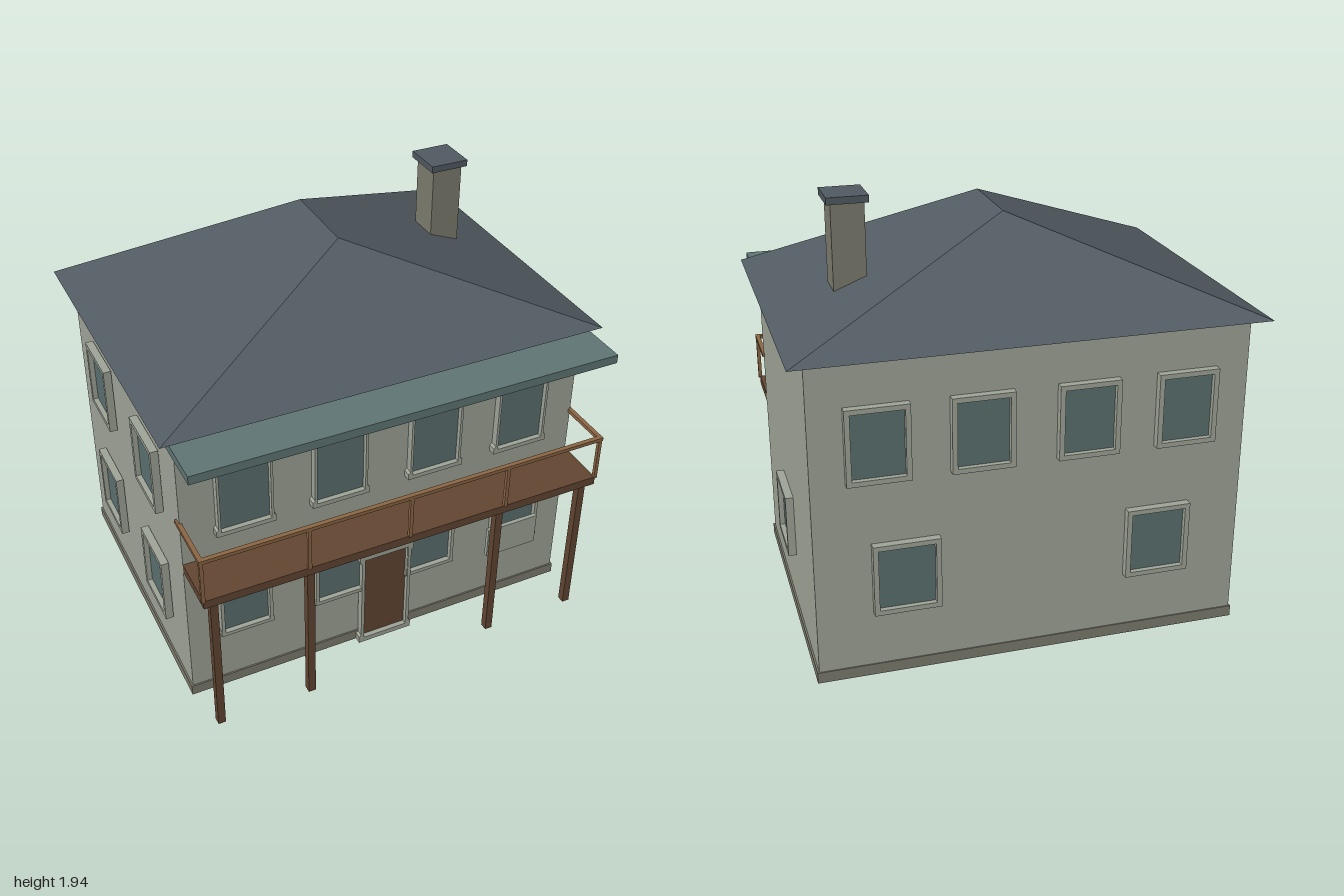
import * as THREE from 'three';

const mat = (name, color, side = THREE.FrontSide) => {
  const m = new THREE.MeshStandardMaterial({ color, side });
  m.name = name;
  return m;
};

export function createModel() {
  const model = new THREE.Group();
  model.name = 'house';
  const wall = mat('wall plaster', 0xa0a598);
  const stone = mat('stone', 0x7d7c6e);
  const slate = mat('roof slate', 0x515b62);
  const glass = mat('window glass', 0x5b7170);
  const awningMat = mat('awning teal', 0x5f7674);
  const wood = mat('dark wood', 0x624632);
  const railWood = mat('rail wood', 0x8c6644);

  const add = (name, geometry, material, parent = model) => {
    const mesh = new THREE.Mesh(geometry, material);
    mesh.name = name;
    parent.add(mesh);
    return mesh;
  };
  // Box given by its limits on each axis
  const box = (name, material, [x0, x1], [y0, y1], [z0, z1], parent = model) => {
    const g = new THREE.BoxGeometry(x1 - x0, y1 - y0, z1 - z0);
    g.translate((x0 + x1) / 2, (y0 + y1) / 2, (z0 + z1) / 2);
    return add(name, g, material, parent);
  };

  // Walls and plinth
  box('walls', wall, [-0.93, 0.93], [0.03, 1.435], [-0.76, 0.58]);
  box('plinth', stone, [-0.938, 0.938], [0, 0.05], [-0.765, 0.587]);

  // Hipped roof: eaves corners a-d, ridge ends e and f
  const a = [-1, 1.43, 0.64], b = [1, 1.43, 0.64], c = [1, 1.43, -0.83], d = [-1, 1.43, -0.83];
  const e = [0, 1.83, 0.1], f = [0, 1.83, -0.29];
  const roof = new THREE.BufferGeometry();
  const faces = [a, b, e, b, c, f, b, f, e, c, d, f, d, a, e, d, e, f, a, d, c, a, c, b];
  roof.setAttribute('position', new THREE.Float32BufferAttribute(faces.flat(), 3));
  roof.computeVertexNormals();
  add('roof', roof, slate);

  // Chimney
  box('chimney', stone, [0.58, 0.72], [1.54, 1.915], [-0.285, -0.14]);
  box('chimneyCap', slate, [0.565, 0.74], [1.91, 1.94], [-0.31, -0.125]);

  // Awning over the balcony
  box('awning', awningMat, [-0.955, 0.955], [1.37, 1.41], [0.52, 0.82]);

  // Balcony deck on posts
  box('balconyDeck', wood, [-0.93, 0.93], [0.725, 0.765], [0.58, 0.818]);
  for (const x of [-0.88, -0.452, 0.452, 0.88])
    box('deckPost', wood, [x - 0.017, x + 0.017], [0.01, 0.73], [0.765, 0.8]);

  // Railing
  box('frontRail', railWood, [-0.94, 0.94], [0.968, 0.985], [0.804, 0.825]);
  for (const s of [-1, 1]) {
    const x = s * 0.93;
    box('sideRail', railWood, [x - 0.01, x + 0.01], [0.968, 0.985], [0.545, 0.81]);
  }
  for (const x of [-0.93, -0.465, 0, 0.465, 0.93])
    box('railPost', railWood, [x - 0.008, x + 0.008], [0.76, 0.972], [0.806, 0.822]);

  // Framed opening; ear is how far the jambs step in from the head and sill
  function opening(name, paneMat, w, h, border, ear, x, y, z, turn) {
    const group = new THREE.Group();
    group.name = name;
    const X = w / 2, Y = h / 2, J = X - ear, band = border * 1.4;
    const half = [[X, -Y], [X, -Y + band], [J, -Y + band + ear], [J, Y - band - ear], [X, Y - band], [X, Y]];
    const outline = [...half, ...half.map(([px, py]) => [-px, py]).reverse()];
    const shape = new THREE.Shape(outline.map(p => new THREE.Vector2(...p)));
    const hx = X - border, hy = Y - border;
    shape.holes.push(new THREE.Path([
      new THREE.Vector2(-hx, -hy), new THREE.Vector2(-hx, hy),
      new THREE.Vector2(hx, hy), new THREE.Vector2(hx, -hy),
    ]));
    add('frame', new THREE.ExtrudeGeometry(shape, { depth: 0.035, bevelEnabled: false }), wall, group);
    box('pane', paneMat, [-hx - 0.002, hx + 0.002], [-hy - 0.002, hy + 0.002], [0.003, 0.012], group);
    group.position.set(x, y, z);
    group.rotation.y = turn;
    model.add(group);
  }

  // Front windows
  for (const x of [-0.655, -0.225, 0.225, 0.65])
    opening('frontUpperWindow', glass, 0.265, 0.355, 0.021, 0.01, x, 1.062, 0.58, 0);
  for (const x of [-0.67, -0.225, 0.225, 0.67])
    opening('frontLowerWindow', glass, 0.245, 0.28, 0.018, 0.003, x, 0.46, 0.58, 0);

  // Back windows
  for (const x of [-0.655, -0.225, 0.225, 0.655])
    opening('backUpperWindow', glass, 0.265, 0.33, 0.022, 0, x, 1.065, -0.76, Math.PI);
  for (const x of [-0.55, 0.55])
    opening('backLowerWindow', glass, 0.285, 0.32, 0.022, 0, x, 0.46, -0.76, Math.PI);

  // Side windows
  for (const z of [-0.37, 0.255])
    for (const y of [0.46, 1.065])
      opening('sideWindow', glass, 0.27, 0.32, 0.022, 0, -0.935, y, z, -Math.PI / 2);
  opening('sideWindow', glass, 0.285, 0.285, 0.021, 0, 0.93, 0.458, -0.088, Math.PI / 2);

  // Front door with its casing
  opening('frontDoor', wood, 0.265, 0.525, 0.025, 0.01, 0, 0.263, 0.585, 0);

  // Blank hanging board beside the post
  box('hangingBoard', wall, [0.43, 0.68], [0.437, 0.587], [0.743, 0.762]);

  return model;
}
